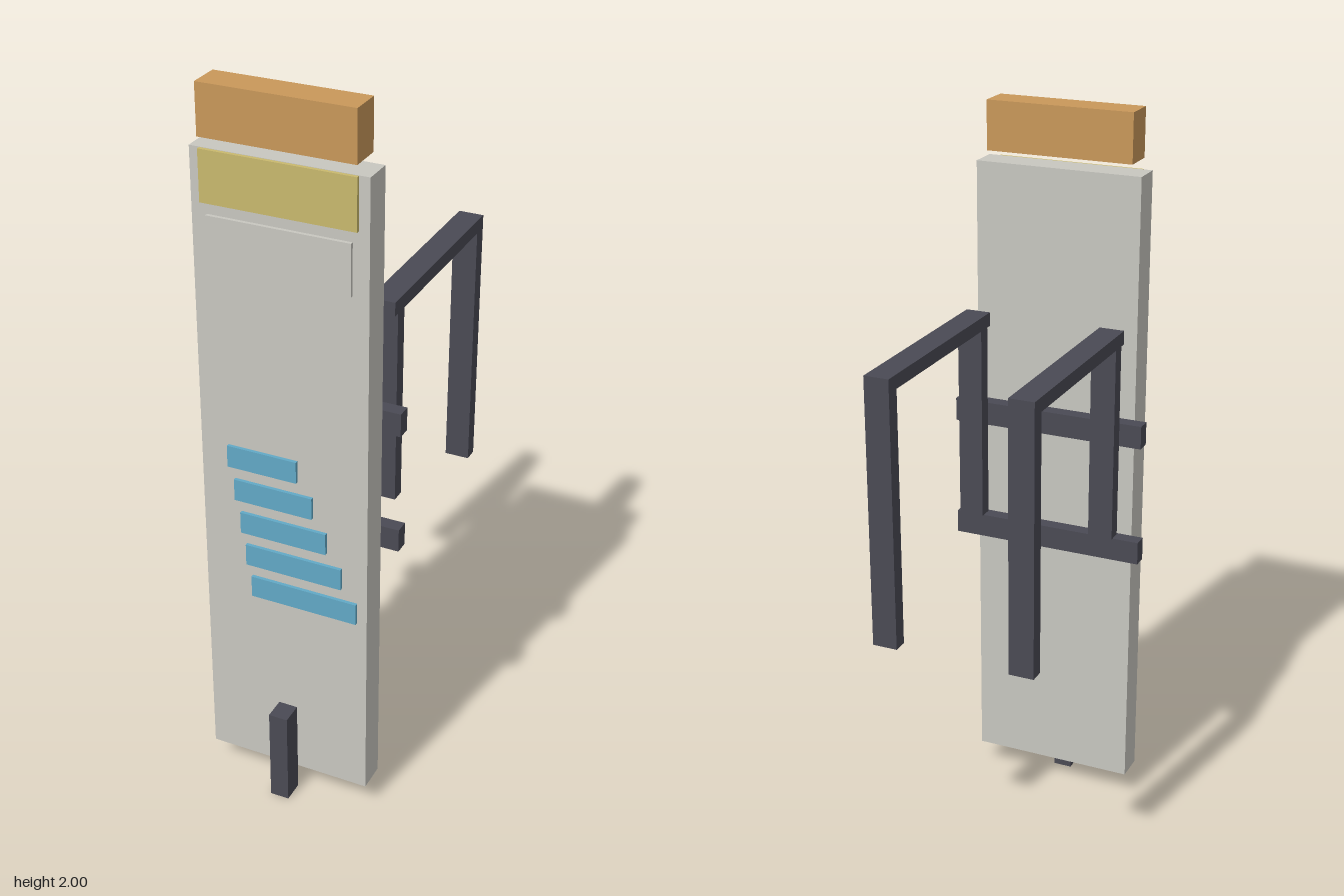
import * as THREE from 'three';

const paint = (name, color) => {
  const m = new THREE.MeshStandardMaterial({ color });
  m.name = name;
  return m;
};

export function createModel() {
  const grey = paint('panel grey', 0xc8c7c0);
  const orange = paint('orange', 0xc9985a);
  const yellow = paint('yellow', 0xc9b96e);
  const blue = paint('blue', 0x62a9c6);
  const dark = paint('dark metal', 0x4a4a54);

  const model = new THREE.Group();
  model.name = 'panelWithFrames';

  // Box given by its extents on each axis
  const box = (name, mat, [x0, x1], [y0, y1], [z0, z1], parent = model) => {
    const mesh = new THREE.Mesh(new THREE.BoxGeometry(x1 - x0, y1 - y0, z1 - z0), mat);
    mesh.position.set((x0 + x1) / 2, (y0 + y1) / 2, (z0 + z1) / 2);
    mesh.name = name;
    parent.add(mesh);
  };

  // Upright panel, top block and front post
  box('panel', grey, [-0.231, 0.23], [0.072, 1.84], [0.258, 0.339]);
  box('topBlock', orange, [-0.204, 0.202], [1.868, 2], [0.262, 0.349]);
  box('frontPost', dark, [-0.027, 0.026], [0, 0.275], [0.339, 0.4]);

  // Thin plates on the panel face
  const face = [0.339, 0.3485];
  box('headerPlate', yellow, [-0.204, 0.202], [1.705, 1.839], face);
  box('labelPlate', grey, [-0.19, 0.187], [1.54, 1.675], face);

  // Stepped stripes, each wider and lower than the last
  const stripes = [[-0.155, 0.038], [-0.138, 0.08], [-0.123, 0.118], [-0.11, 0.16], [-0.096, 0.203]];
  stripes.forEach((span, i) => {
    const top = 1.055 - i * 0.0955;
    box(`stripe${i + 1}`, blue, span, [top - 0.061, top], face);
  });

  // Crossbars behind the panel
  box('upperCrossbar', dark, [-0.272, 0.27], [1.127, 1.191], [0.197, 0.236]);
  box('lowerCrossbar', dark, [-0.272, 0.27], [0.789, 0.853], [0.197, 0.236]);

  // Pair of rear frames: a rail with a short and a long leg
  for (const [side, x] of [['left', [0.156, 0.224]], ['right', [-0.225, -0.157]]]) {
    const frame = new THREE.Group();
    frame.name = `${side}Frame`;
    box('rail', dark, x, [1.42, 1.457], [-0.4, 0.176], frame);
    box('frontLeg', dark, x, [0.888, 1.42], [0.12, 0.158], frame);
    box('rearLeg', dark, x, [0.726, 1.42], [-0.4, -0.36], frame);
    model.add(frame);
  }
  return model;
}
